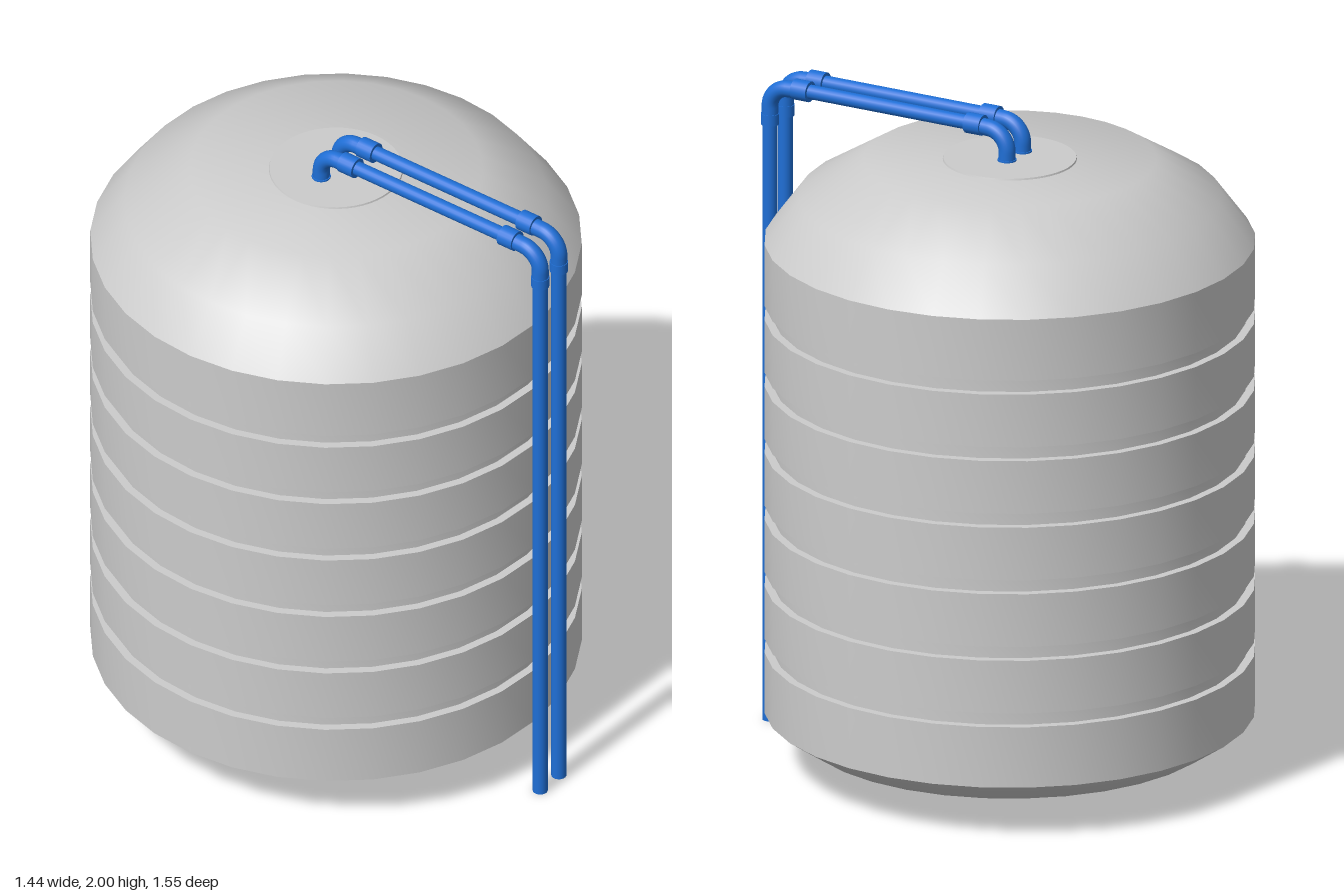
import * as THREE from 'three';
import { toCreasedNormals } from 'three/addons/utils/BufferGeometryUtils.js';

const grey = new THREE.MeshStandardMaterial({ color: 0xcccccc });
const blue = new THREE.MeshStandardMaterial({ color: 0x1f6fd6 });
const V = (x, y, z) => new THREE.Vector3(x, y, z);

function add(parent, name, geometry, material) {
  const mesh = new THREE.Mesh(geometry, material);
  mesh.name = name;
  parent.add(mesh);
  return mesh;
}

// Round bar between two points
function bar(parent, name, a, b, radius) {
  const dir = b.clone().sub(a);
  const mesh = add(parent, name, new THREE.CylinderGeometry(radius, radius, dir.length(), 20), blue);
  mesh.position.copy(a).lerp(b, 0.5);
  mesh.quaternion.setFromUnitVectors(V(0, 1, 0), dir.normalize());
}

// Elbow: straight, quarter bend around the corner, straight
function elbow(parent, name, a, corner, b, bend) {
  const p = corner.clone().add(a.clone().sub(corner).setLength(bend));
  const q = corner.clone().add(b.clone().sub(corner).setLength(bend));
  const k = 0.552;
  const path = new THREE.CurvePath();
  path.add(new THREE.LineCurve3(a, p));
  path.add(new THREE.CubicBezierCurve3(p, p.clone().lerp(corner, k), q.clone().lerp(corner, k), q));
  path.add(new THREE.LineCurve3(q, b));
  add(parent, name, new THREE.TubeGeometry(path, 28, 0.025, 20), blue);
}

// Ribbed tank body as one lathe profile
function tankBody() {
  const R = 0.72, groove = 0.695;
  const profile = [[0, 0.1], [0.615, 0.1], [R, 0.17]];
  for (let i = 0; i < 6; i++) {
    const y = 0.357 + i * 0.2062;
    profile.push([R, y], [groove, y], [groove, y + 0.043], [R, y + 0.043]);
  }
  profile.push([R, 1.62], [0.62, 1.755], [0.43, 1.87], [0, 1.87]);
  const points = profile.map(([r, y]) => new THREE.Vector2(r, y));
  return toCreasedNormals(new THREE.LatheGeometry(points, 32), 0.6);
}

// One pipe running up the front, over the roof and down into the lid
function pipe(name, x) {
  const g = new THREE.Group();
  g.name = name;
  const top = 1.968, zFront = 0.747, zBack = -0.06;
  const xBack = x + 0.016;
  const at = (y, z) => V(x + 0.012 * (zFront - z) / 0.72, y, z);
  bar(g, 'uprightPipe', V(x, 0, zFront), V(x, 1.86, zFront), 0.0225);
  bar(g, 'uprightCollar', V(x, 1.845, zFront), V(x, 1.878, zFront), 0.027);
  elbow(g, 'frontElbow', V(x, 1.86, zFront), V(x, top - 0.007, zFront), at(top - 0.002, 0.64), 0.06);
  bar(g, 'frontCollar', at(top, 0.662), at(top, 0.61), 0.031);
  bar(g, 'overheadPipe', at(top, 0.63), at(top, 0.05), 0.0215);
  bar(g, 'backCollar', at(top, 0.075), at(top, 0.022), 0.031);
  elbow(g, 'backElbow', at(top - 0.002, 0.04), V(xBack, top - 0.007, zBack), V(xBack, 1.86, zBack), 0.06);
  bar(g, 'inletCollar', V(xBack, 1.85, zBack), V(xBack, 1.88, zBack), 0.028);
  return g;
}

export function createModel() {
  const model = new THREE.Group();
  model.name = 'waterTank';

  const tank = new THREE.Group();
  tank.name = 'tank';
  tank.position.z = -0.052;
  add(tank, 'tankBody', tankBody(), grey);

  // Thin access lid on the roof
  const lid = add(tank, 'lid', toCreasedNormals(new THREE.CylinderGeometry(0.195, 0.2, 0.016, 48), 0.6), grey);
  lid.position.y = 1.867;
  model.add(tank);

  model.add(pipe('rightPipe', -0.078), pipe('leftPipe', 0.014));
  return model;
}
